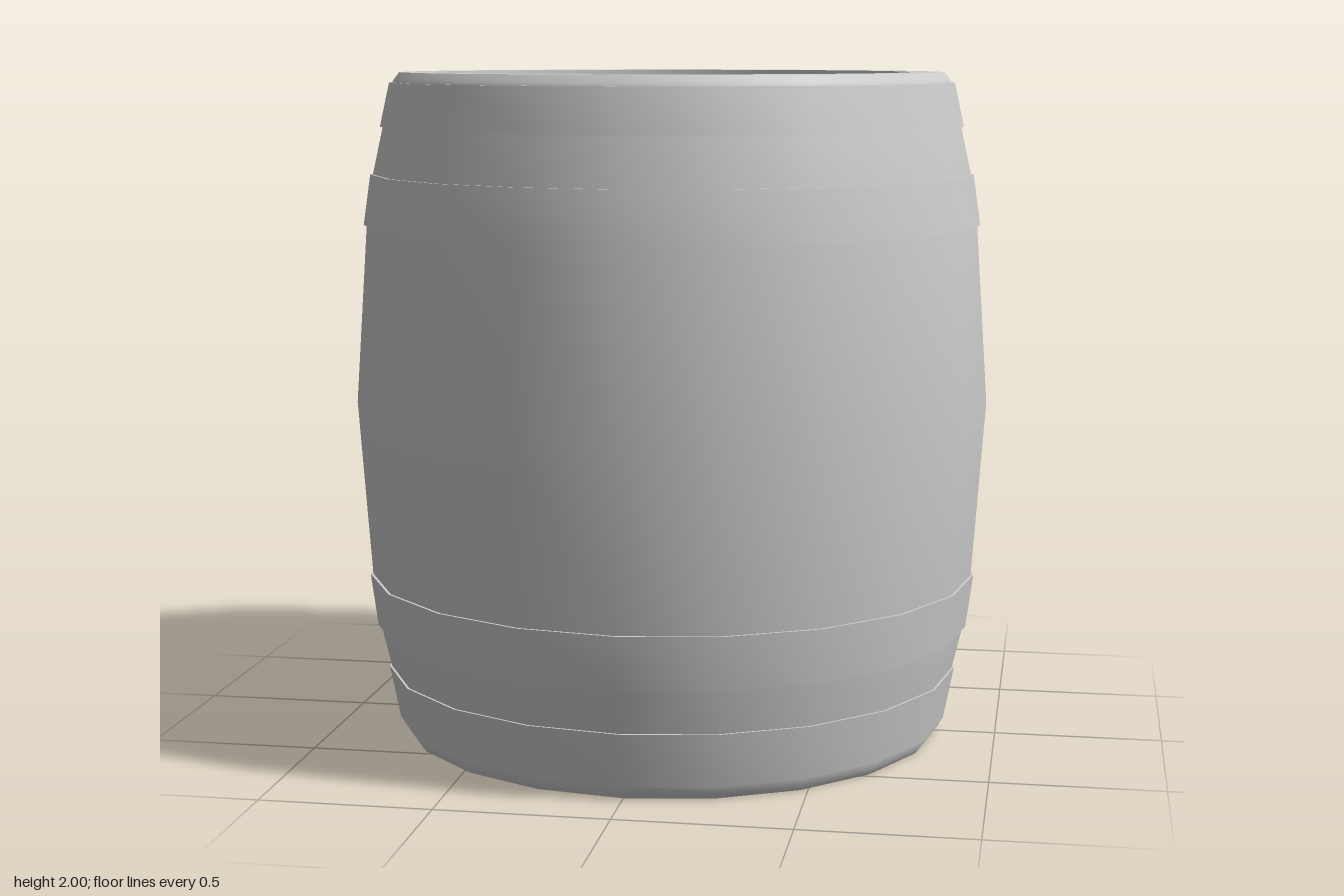
import * as THREE from 'three';
import { toCreasedNormals } from 'three/addons/utils/BufferGeometryUtils.js';

const SIDES = 20;
const material = new THREE.MeshStandardMaterial({ color: 0xcccccc });

// Revolve [radius, height] pairs, smooth around but sharp at ledges
function revolve(name, profile) {
  const points = profile.map(([r, y]) => new THREE.Vector2(r, y));
  const geometry = toCreasedNormals(new THREE.LatheGeometry(points, SIDES), 0.5);
  const mesh = new THREE.Mesh(geometry, material);
  mesh.name = name;
  return mesh;
}

export function createModel() {
  const barrel = new THREE.Group();
  barrel.name = 'barrel';

  // Bulging wall with flat rims and the inner recess walls
  barrel.add(revolve('staves', [
    [0.71, 0.13], [0.715, 0], [0.815, 0], [0.83, 0.02], [0.835, 0.04], [0.866, 0.2],
    [0.897, 0.33], [0.918, 0.49], [0.955, 1.02], [0.918, 1.55],
    [0.897, 1.7], [0.866, 1.84], [0.836, 1.97], [0.83, 1.98],
    [0.815, 2], [0.715, 2], [0.71, 1.87],
  ]));

  // Four slightly raised hoops: [bottom y, bottom radius, top y, top radius]
  const hoops = [
    ['bottomHoop', 0.04, 0.842, 0.2, 0.873],
    ['lowerHoop', 0.33, 0.905, 0.49, 0.926],
    ['upperHoop', 1.55, 0.927, 1.7, 0.905],
    ['topHoop', 1.84, 0.874, 1.97, 0.845],
  ];
  for (const [name, y0, r0, y1, r1] of hoops) {
    barrel.add(revolve(name, [[r0 - 0.03, y0], [r0, y0], [r1, y1], [r1 - 0.03, y1]]));
  }

  // Round lids sunk below each rim
  for (const [name, y] of [['bottomHead', 0.15], ['topHead', 1.85]]) {
    const head = new THREE.Mesh(new THREE.CylinderGeometry(0.715, 0.715, 0.06, SIDES), material);
    head.name = name;
    head.position.y = y;
    barrel.add(head);
  }
  return barrel;
}
